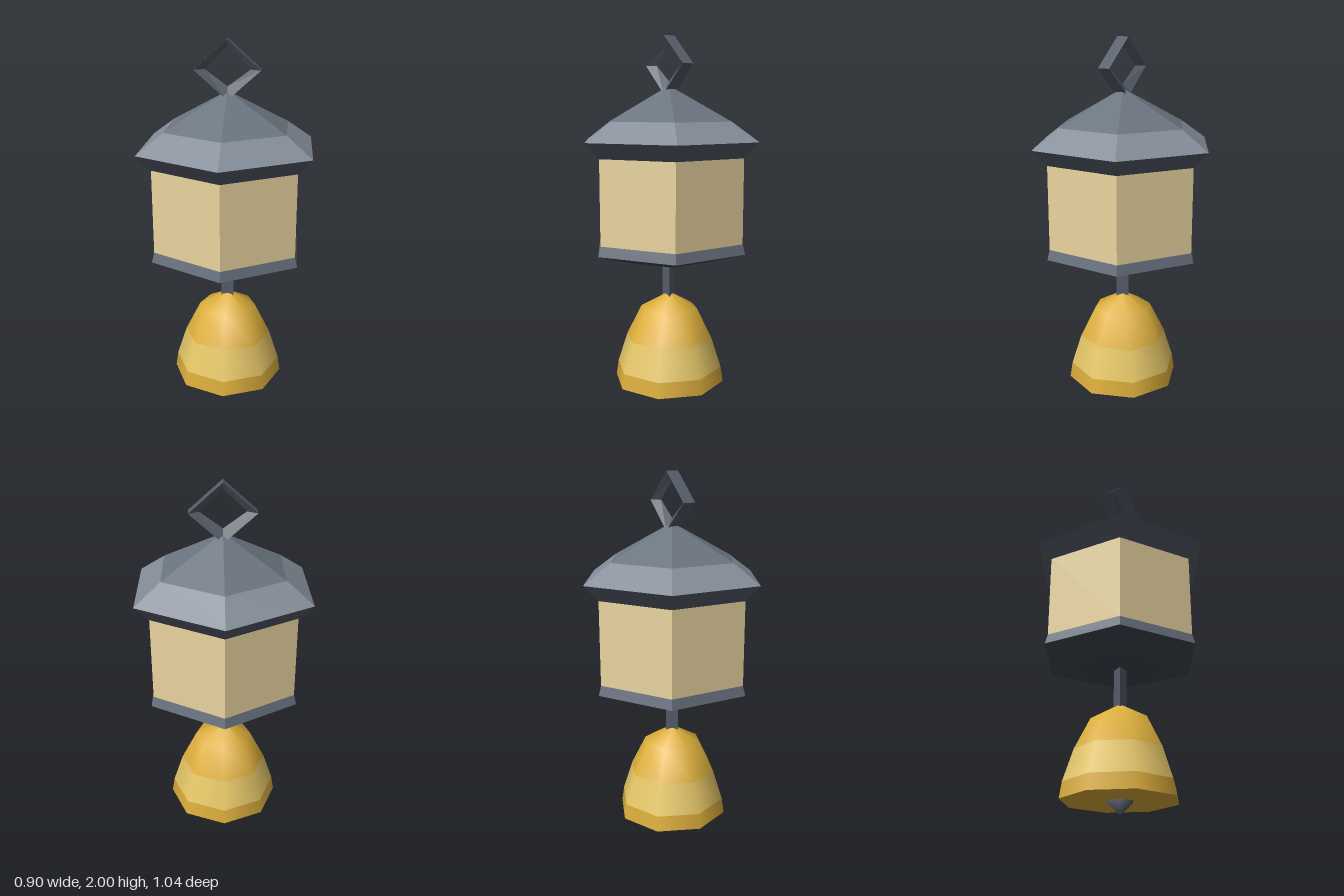
import * as THREE from 'three';

const COLORS = {
  iron: 0x555d69, roof: 0x6b7580, eave: 0x858d99, rim: 0x67707d, dark: 0x3f4651,
  panel: 0xead5a0, gold: 0xdcae3c, paleGold: 0xe6c768,
};

function material(color, flatShading) {
  return new THREE.MeshStandardMaterial({ color, flatShading, side: THREE.DoubleSide });
}

// Turned part: profile of [radius, y] points from bottom to top
function turned(name, profile, sides, color, flat = true) {
  const points = profile.map(([r, y]) => new THREE.Vector2(r, y));
  const mesh = new THREE.Mesh(new THREE.LatheGeometry(points, sides), material(color, flat));
  mesh.name = name;
  return mesh;
}

// Diamond loop with a triangular section: two outer edges and one inner ridge
function hangingLoop() {
  const cy = 1.845, halfDepth = 0.035;
  const position = [], index = [];
  for (let i = 0; i < 4; i++) {
    const c = Math.cos(i * Math.PI / 2), s = Math.sin(i * Math.PI / 2);
    const outer = [0.175 * c, cy + 0.155 * s];
    const inner = [0.12 * c, cy + (s > 0 ? 0.113 : 0.087) * s];
    position.push(...outer, halfDepth, ...inner, 0, ...outer, -halfDepth);
    for (let k = 0; k < 3; k++) {
      const a = i * 3 + k, b = i * 3 + (k + 1) % 3;
      const next = ((i + 1) % 4) * 3;
      const d = next + k, e = next + (k + 1) % 3;
      index.push(a, d, b, b, d, e);
    }
  }
  const geometry = new THREE.BufferGeometry();
  geometry.setAttribute('position', new THREE.Float32BufferAttribute(position, 3));
  geometry.setIndex(index);
  geometry.computeVertexNormals();
  const mesh = new THREE.Mesh(geometry, material(COLORS.iron, true));
  mesh.name = 'hangingLoop';
  return mesh;
}

export function createModel() {
  const model = new THREE.Group();
  model.name = 'lanternBell';

  // Six-sided lantern housing
  const lantern = new THREE.Group();
  lantern.name = 'lantern';
  lantern.add(
    turned('roofTop', [[0.365, 1.545], [0, 1.735]], 6, COLORS.roof),
    turned('roofEave', [[0.52, 1.44], [0.365, 1.545]], 6, COLORS.eave),
    turned('roofUnderside', [[0, 1.355], [0.44, 1.355], [0.52, 1.44]], 6, COLORS.iron),
    turned('panels', [[0.437, 0.89], [0.437, 1.36]], 6, COLORS.panel),
    turned('baseRim', [[0.452, 0.84], [0.437, 0.895], [0, 0.895]], 6, COLORS.rim),
    turned('baseUnderside', [[0, 0.785], [0.265, 0.785], [0.452, 0.84]], 6, COLORS.dark),
  );

  // Three-sided rod, flat face to the front
  const rod = new THREE.Mesh(new THREE.CylinderGeometry(0.04, 0.04, 0.25, 3), material(COLORS.iron, true));
  rod.rotation.y = Math.PI;
  rod.position.y = 0.685;
  rod.name = 'rod';

  // Eight-sided bell with a pale band and a closed bottom
  const bell = new THREE.Group();
  bell.name = 'bell';
  bell.add(
    turned('bellCrown', [[0.245, 0.325], [0.16, 0.495], [0, 0.585]], 8, COLORS.gold, false),
    turned('bellBand', [[0.3, 0.155], [0.245, 0.325]], 8, COLORS.paleGold, false),
    turned('bellLip', [[0.313, 0.07], [0.3, 0.155]], 8, COLORS.gold, false),
    turned('bellBottom', [[0, 0.07], [0.313, 0.07]], 8, COLORS.gold),
    turned('clapper', [[0, 0], [0.075, 0.07], [0, 0.13]], 6, COLORS.iron, false),
  );

  model.add(hangingLoop(), lantern, rod, bell);
  return model;
}
